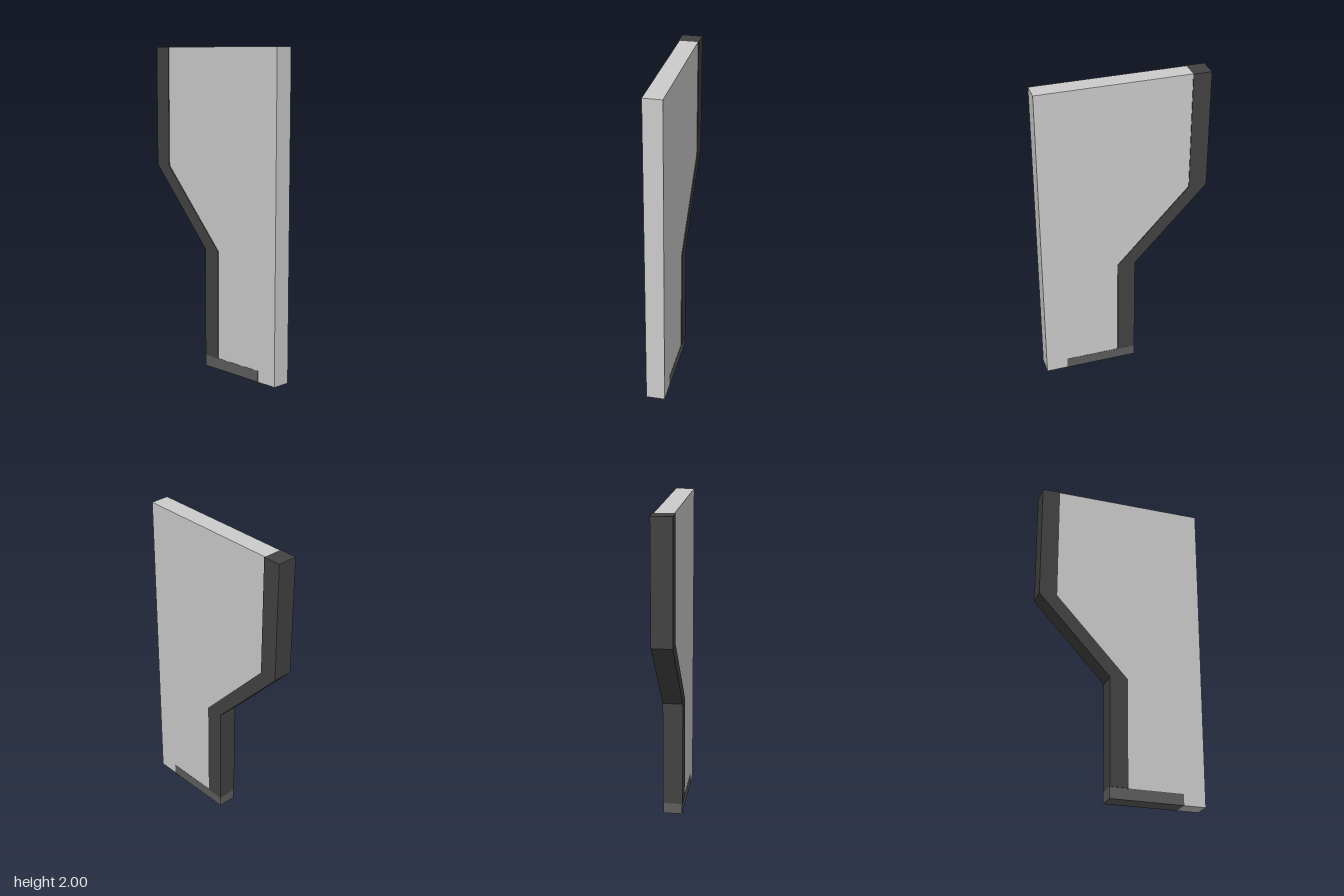
import * as THREE from 'three';

// Flat slab: an outline in x/y extruded evenly about z = 0
function slab(name, points, thickness, color) {
  const shape = new THREE.Shape(points.map(([x, y]) => new THREE.Vector2(x, y)));
  const geometry = new THREE.ExtrudeGeometry(shape, { depth: thickness, bevelEnabled: false });
  geometry.translate(0, 0, -thickness / 2);
  const mesh = new THREE.Mesh(geometry, new THREE.MeshStandardMaterial({ color }));
  mesh.name = name;
  return mesh;
}

export function createModel() {
  const group = new THREE.Group();
  group.name = 'steppedPanel';

  const footTop = 0.07;
  const stripWidth = 0.113;
  const right = 0.527;
  const footEnd = 0.39;

  // Stepped outer edge, from top to foot
  const outer = [[-0.527, 2], [-0.527, 1.25], [-0.07, 0.753], [-0.07, footTop]];
  const inner = outer.map(([x, y]) => [x + stripWidth, y]);

  // Light panel, notched around the foot
  group.add(slab('panel', [
    ...inner, [footEnd, footTop], [footEnd, 0], [right, 0], [right, 2],
  ], 0.116, 0xcccccc));

  // Dark strip along the stepped edge, slightly thicker than the panel
  group.add(slab('edgeStrip', [...outer, ...[...inner].reverse()], 0.126, 0x424242));

  // Low foot under the strip and most of the panel
  group.add(slab('foot', [
    [-0.07, 0], [footEnd, 0], [footEnd, footTop], [-0.07, footTop],
  ], 0.119, 0x5d5d5d));

  return group;
}
